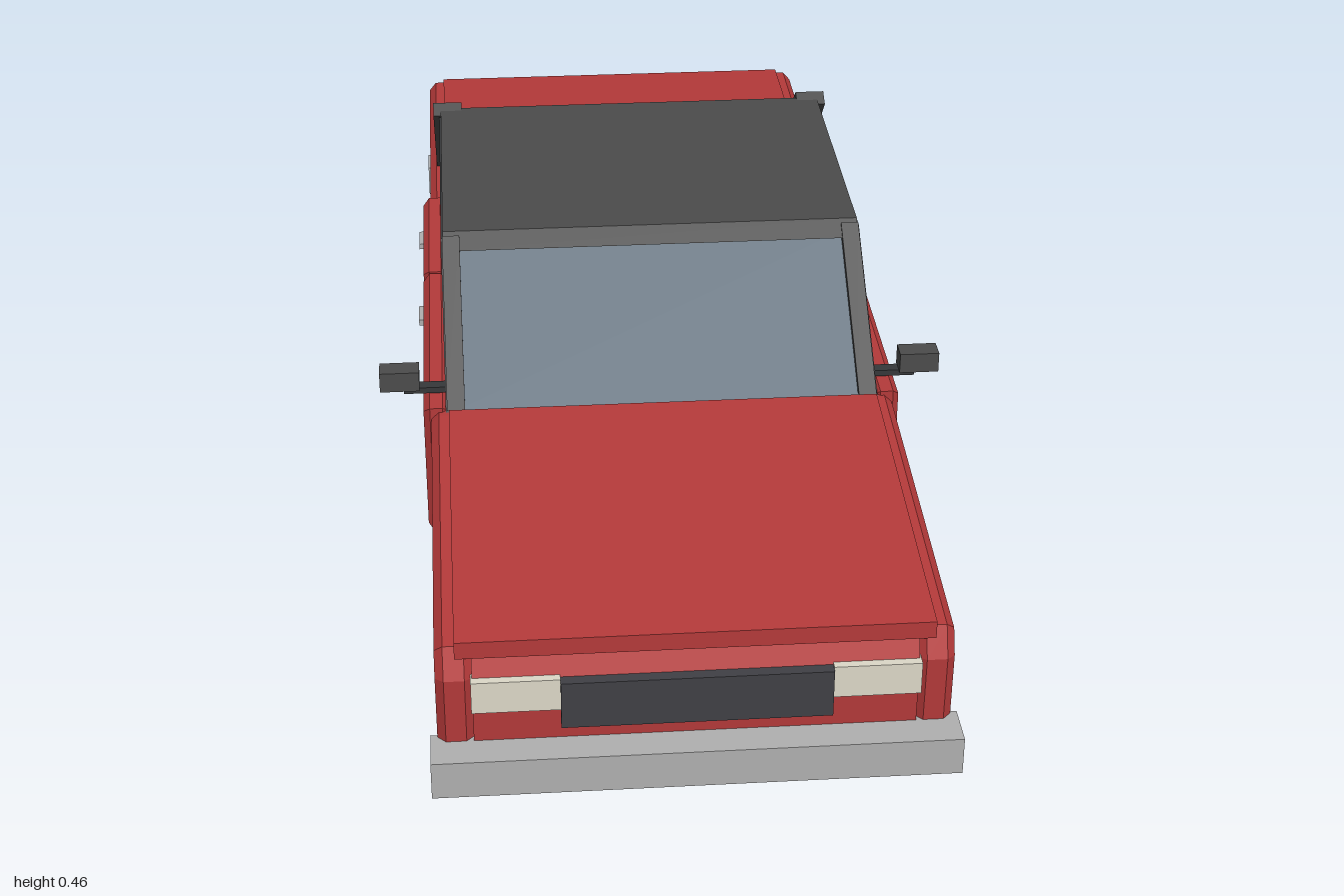
import * as THREE from 'three';

const mat = (color) => new THREE.MeshStandardMaterial({ color, flatShading: true, side: THREE.DoubleSide });

export function createModel() {
  const car = new THREE.Group();
  car.name = 'car';
  const red = mat(0xb53a3a), black = mat(0x1c1c1c), roofGrey = mat(0x4c4c4c), trim = mat(0x36383a),
    glass = mat(0x5f6e7b), chrome = mat(0xb0b0b0), lamp = mat(0xddd8c8), tail = mat(0xa01c1c),
    grilleGrey = mat(0x404045), wellGrey = mat(0x343434);

  const add = (name, geometry, material) => {
    const mesh = new THREE.Mesh(geometry, material);
    mesh.name = name;
    car.add(mesh);
    return mesh;
  };

  // Box given by its minimum and maximum corners
  const box = (name, m, [x0, y0, z0], [x1, y1, z1]) => {
    const mesh = add(name, new THREE.BoxGeometry(x1 - x0, y1 - y0, z1 - z0), m);
    mesh.position.set((x0 + x1) / 2, (y0 + y1) / 2, (z0 + z1) / 2);
    return mesh;
  };

  // Side profile of [z, y] points, extruded from x0 to x1 with an optional bevel
  const prism = (name, m, points, x0, x1, bevel = 0, holes = []) => {
    const toVec = (p) => new THREE.Vector2(p[0], p[1]);
    const shape = new THREE.Shape(points.map(toVec));
    holes.forEach((h) => shape.holes.push(new THREE.Path(h.map(toVec))));
    const g = new THREE.ExtrudeGeometry(shape, {
      depth: x1 - x0 - 2 * bevel, bevelEnabled: bevel > 0, bevelThickness: bevel,
      bevelSize: bevel, bevelOffset: -bevel, bevelSegments: 1,
    });
    g.translate(0, 0, bevel - x1);
    g.rotateY(-Math.PI / 2);
    return add(name, g, m);
  };

  // The same part on the left and the right
  const bothPrism = (name, m, points, x0, x1, bevel, holes) => {
    prism(name + 'Left', m, points, x0, x1, bevel, holes);
    prism(name + 'Right', m, points, -x1, -x0, bevel, holes);
  };
  const bothBox = (name, m, [x0, y0, z0], [x1, y1, z1]) => {
    box(name + 'Left', m, [x0, y0, z0], [x1, y1, z1]);
    box(name + 'Right', m, [-x1, y0, z0], [-x0, y1, z1]);
  };

  // Wheel arch outline, from front to back
  const arch = (centre, r, startDegrees, steps) => {
    const pts = [];
    for (let i = 0; i <= steps; i++) {
      const a = THREE.MathUtils.degToRad(startDegrees + ((180 - startDegrees) * i) / steps);
      pts.push([centre + r * Math.cos(a), 0.03 + r * Math.sin(a)]);
    }
    return [...pts, [centre - r, 0.012]];
  };
  const frontArch = [[0.75, 0.012], ...arch(0.582, 0.168, 0, 10)];
  const rearArch = [[-0.412, 0.012], ...arch(-0.58, 0.168, 72, 6)];

  // Lower body: solid middle, side panels with wheel arches, dark wheel wells
  const top = [[-0.93, 0.265], [-0.55, 0.268], [0.38, 0.265], [0.935, 0.225]];
  const nose = [[0.955, 0.18], [0.95, 0.045], [0.93, 0.012]];
  const rear = [[-0.925, 0.012], [-0.95, 0.045], [-0.96, 0.19]];
  prism('bodyMiddle', red, [...top, ...nose, ...rear], -0.312, 0.312);
  bothPrism('sidePanel', red, [...top, ...nose, ...frontArch, ...rearArch, ...rear], 0.31, 0.363, 0.012);
  bothPrism('frontWheelWell', wellGrey, frontArch, 0.305, 0.315);
  bothPrism('rearWheelWell', wellGrey, rearArch, 0.305, 0.315);
  box('floor', black, [-0.31, 0, -0.84], [0.31, 0.014, 0.84]);

  // Hood, trunk lid
  prism('hood', red, [[0.39, 0.24], [0.39, 0.28], [0.945, 0.237], [0.945, 0.21]], -0.335, 0.335);
  prism('trunkLid', red, [[-0.57, 0.24], [-0.57, 0.28], [-0.93, 0.272], [-0.935, 0.24]], -0.335, 0.335);

  // Doors and handles
  const doors = [['frontDoor', -0.087, 0.37, -0.05], ['rearDoor', -0.385, -0.093, -0.335]];
  for (const [name, z0, z1, handle] of doors) {
    bothPrism(name, red, [[z0, 0.045], [z1, 0.045], [z1, 0.272], [z0, 0.272]], 0.335, 0.375, 0.01);
    bothBox(name + 'Handle', chrome, [0.37, 0.219, handle], [0.384, 0.229, handle + 0.05]);
  }

  // Cabin: glass core, window frames, pillars and roof
  prism('cabinGlass', glass, [[0.365, 0.265], [0.125, 0.44], [-0.37, 0.44], [-0.565, 0.265]], -0.322, 0.322);
  const frontWindow = [[0.335, 0.278], [0.112, 0.436], [-0.08, 0.436], [-0.08, 0.278]];
  const rearWindow = [[-0.1, 0.278], [-0.1, 0.436], [-0.345, 0.436], [-0.51, 0.278]];
  const frame = [[0.372, 0.265], [0.125, 0.445], [-0.37, 0.445], [-0.565, 0.265]];
  bothPrism('windowFrame', trim, frame, 0.318, 0.34, 0, [frontWindow, rearWindow]);
  bothPrism('frontPillar', roofGrey,
    [[0.375, 0.27], [0.13, 0.452], [0.11, 0.44], [0.345, 0.265]], 0.31, 0.338);
  bothPrism('rearPillar', roofGrey,
    [[-0.35, 0.45], [-0.375, 0.464], [-0.585, 0.285], [-0.575, 0.268], [-0.53, 0.268]], 0.3, 0.35);
  prism('roof', roofGrey, [[0.15, 0.434], [0.12, 0.455], [-0.37, 0.455], [-0.39, 0.434]], -0.337, 0.337);

  // Door mirrors
  bothBox('mirrorStalk', trim, [0.34, 0.276, 0.308], [0.405, 0.286, 0.328]);
  bothBox('mirror', roofGrey, [0.38, 0.285, 0.302], [0.442, 0.318, 0.336]);

  // Bumpers, grille, lights and plate
  box('frontBumper', chrome, [-0.373, 0.015, 0.935], [0.373, 0.074, 1]);
  box('rearBumper', chrome, [-0.373, 0.015, -1], [0.373, 0.074, -0.935]);
  box('grille', grilleGrey, [-0.19, 0.105, 0.94], [0.19, 0.18, 0.972]);
  bothBox('headlight', lamp, [0.19, 0.132, 0.94], [0.314, 0.183, 0.966]);
  bothBox('tailLight', tail, [0.157, 0.17, -0.972], [0.315, 0.218, -0.94]);
  box('rearPlate', lamp, [-0.06, 0.085, -0.966], [0.06, 0.138, -0.94]);

  return car;
}
